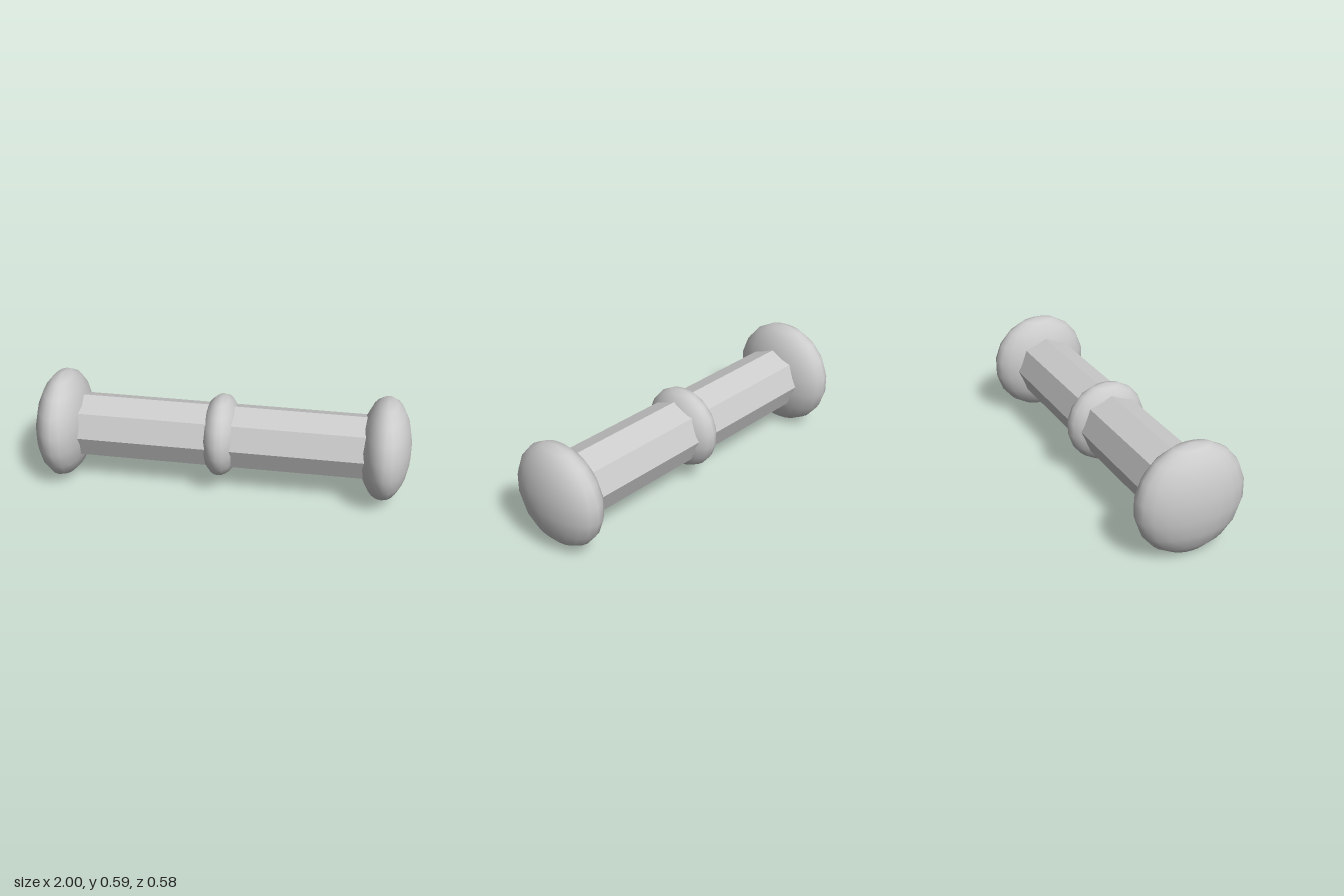
import * as THREE from 'three';

export function createModel() {
  const group = new THREE.Group();
  const axisY = 0.293;
  const smooth = new THREE.MeshStandardMaterial({ color: 0xcccccc });
  const faceted = new THREE.MeshStandardMaterial({ color: 0xcccccc, flatShading: true });

  // Octagonal bar lying along x
  const shaft = new THREE.Mesh(new THREE.CylinderGeometry(0.175, 0.175, 1.72, 8), faceted);
  shaft.name = 'shaft';
  shaft.rotation.z = Math.PI / 2;
  shaft.position.y = axisY;
  group.add(shaft);

  // Flattened ball threaded on the bar
  function addKnob(name, x, halfWidth, radius) {
    const knob = new THREE.Mesh(new THREE.SphereGeometry(1, 20, 9), smooth);
    knob.name = name;
    knob.scale.set(halfWidth, radius, radius);
    knob.position.set(x, axisY, 0);
    group.add(knob);
  }

  addKnob('rightEndKnob', -0.86, 0.142, 0.293);
  addKnob('middleCollar', 0, 0.11, 0.222);
  addKnob('leftEndKnob', 0.8655, 0.1365, 0.276);

  return group;
}
